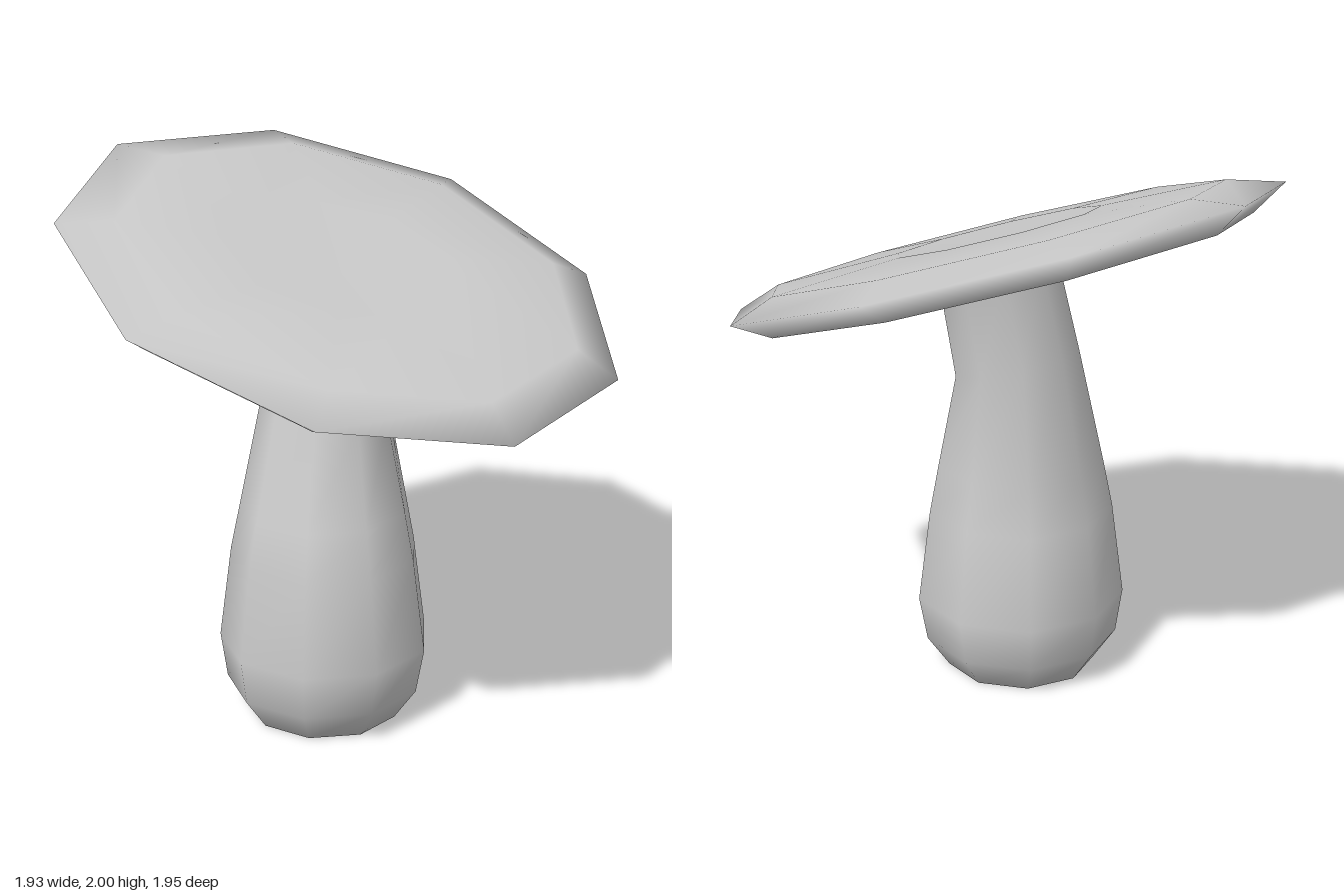
import * as THREE from 'three';

const SIDES = 9;

// Skin a stack of rings (bottom to top); a ring with one point closes an end.
function loft(name, rings) {
  const pos = [], index = [], start = [];
  for (const ring of rings) {
    start.push(pos.length / 3);
    for (const p of ring) pos.push(...p);
  }
  for (let k = 0; k < rings.length - 1; k++) {
    const A = rings[k].length, B = rings[k + 1].length;
    for (let i = 0; i < SIDES; i++) {
      const a0 = start[k] + (i % A), a1 = start[k] + ((i + 1) % A);
      const b0 = start[k + 1] + (i % B), b1 = start[k + 1] + ((i + 1) % B);
      if (A > 1) index.push(a0, b0, a1);
      if (B > 1) index.push(a1, b0, b1);
    }
  }
  const geo = new THREE.BufferGeometry();
  geo.setAttribute('position', new THREE.Float32BufferAttribute(pos, 3));
  geo.setIndex(index);
  geo.computeVertexNormals();
  const mesh = new THREE.Mesh(geo, new THREE.MeshStandardMaterial({ color: 0xcccccc }));
  mesh.name = name;
  return mesh;
}

// Height of the tilted plane the cap lies in
const tilt = (x, z) => 1.642 - 0.323 * x - 0.165 * z;

function createCap() {
  // Uneven nine-sided rim, seen from above
  const rim = [
    [0.13, -0.975], [0.725, -0.675], [0.965, -0.05], [0.735, 0.6], [0.15, 0.97],
    [-0.52, 0.895], [-0.96, 0.4], [-0.97, -0.27], [-0.535, -0.815],
  ];
  const cx = -0.03;
  const ring = (scale, h, dx = 0, dz = 0) => rim.map(([x, z]) => {
    const px = cx + (x - cx) * scale + dx, pz = z * scale + dz;
    return [px, tilt(px, pz) + h, pz];
  });
  const centre = (h) => [[cx, tilt(cx, 0) + h, 0]];
  return loft('cap', [
    centre(-0.12),                 // underside
    ring(0.36, -0.12, -0.02),
    ring(0.87, -0.085, -0.02),     // lower lip
    ring(1, 0),                    // rim
    ring(0.82, 0.062, 0.035, 0.01), // upper shoulder
    ring(0.37, 0.08, 0.02, 0.01),  // edge of the central dent
    centre(0.01),
  ]);
}

function createStem() {
  const ring = (x, z, r, height) => Array.from({ length: SIDES }, (_, i) => {
    const a = (i / SIDES) * Math.PI * 2 + 0.1;
    const px = x + Math.cos(a) * r, pz = z + Math.sin(a) * r;
    return [px, typeof height === 'function' ? height(px, pz) : height, pz];
  });
  // centre x, centre z, radius, height
  const levels = [
    [-0.07, 0.11, 0.278, 0],
    [-0.07, 0.11, 0.362, 0.12],
    [-0.067, 0.108, 0.39, 0.29],
    [-0.067, 0.108, 0.345, 0.64],
    [-0.065, 0.11, 0.31, 0.82],
    // leaning neck, tilted part-way towards the cap
    [-0.07, 0.055, 0.228, (x, z) => 1.22 - 0.25 * (x + 0.07) - 0.1 * (z - 0.055)],
    [-0.02, -0.015, 0.213, (x, z) => tilt(x, z) - 0.06],
  ];
  return loft('stem', [[[-0.07, 0, 0.11]], ...levels.map((l) => ring(...l))]);
}

export function createModel() {
  const group = new THREE.Group();
  group.name = 'mushroom';
  group.add(createStem(), createCap());
  return group;
}
